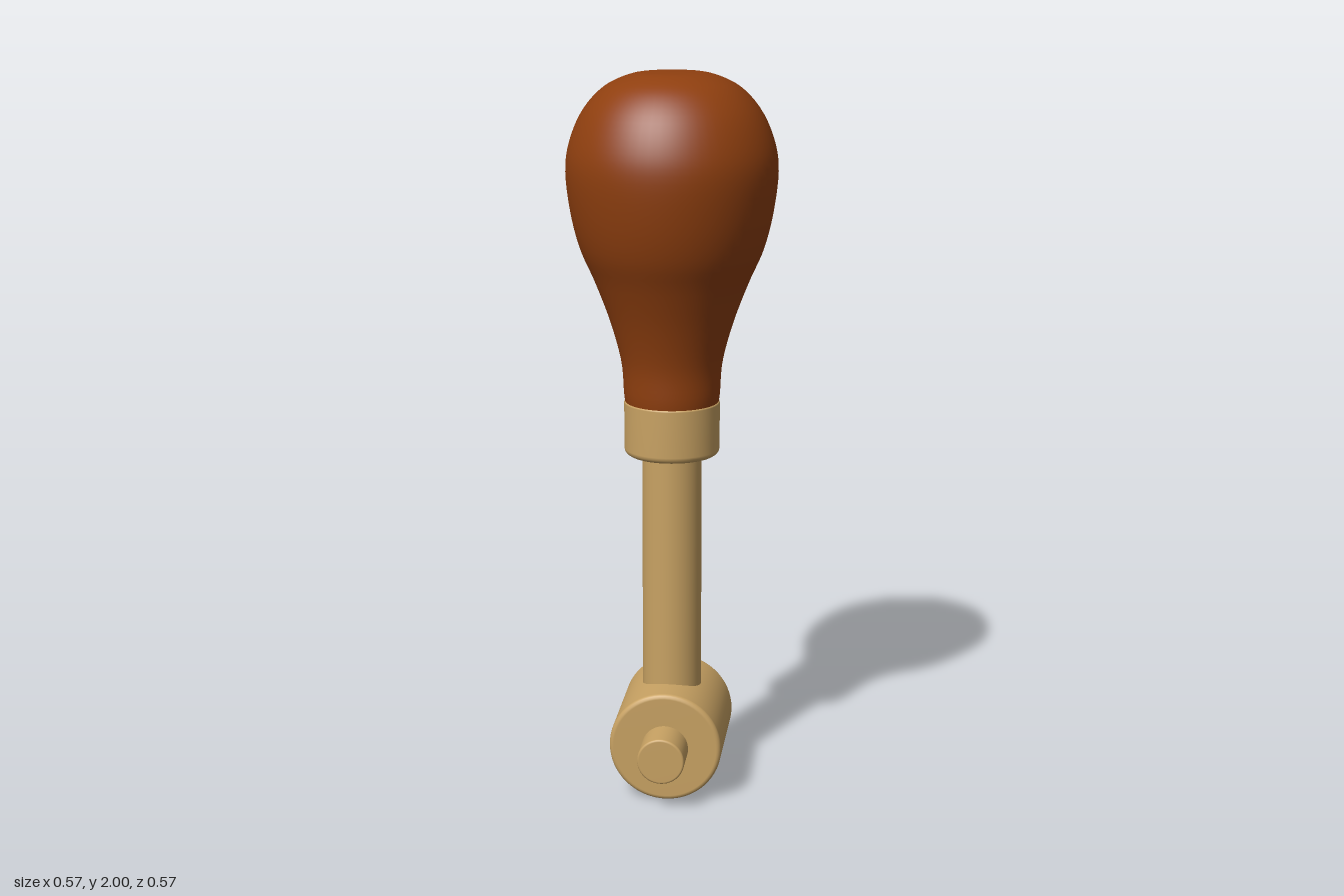
import * as THREE from 'three';

const V = (x, y) => new THREE.Vector2(x, y);

export function createModel() {
  const wood = new THREE.MeshStandardMaterial({ color: 0x8f3f0f });
  wood.name = 'reddish wood';
  const brass = new THREE.MeshStandardMaterial({ color: 0xc8a263 });
  brass.name = 'brass';

  const model = new THREE.Group();
  model.name = 'handle';

  const add = (name, profile, material) => {
    const mesh = new THREE.Mesh(new THREE.LatheGeometry(profile, 64), material);
    mesh.name = name;
    model.add(mesh);
    return mesh;
  };

  // Closed round bar along y with rounded rims
  const bar = (r, y0, y1, b0, b1 = b0) => {
    const pts = [V(0, y0)];
    const steps = 4;
    for (let i = 0; i <= steps; i++) {
      const a = (i / steps) * Math.PI / 2;
      pts.push(V(r - b0 + b0 * Math.sin(a), y0 + b0 - b0 * Math.cos(a)));
    }
    for (let i = 0; i <= steps; i++) {
      const a = (i / steps) * Math.PI / 2;
      pts.push(V(r - b1 + b1 * Math.cos(a), y1 - b1 + b1 * Math.sin(a)));
    }
    pts.push(V(0, y1));
    return pts;
  };

  // Pear-shaped wooden grip
  const gripCurve = new THREE.SplineCurve([
    V(0.125, 1.09), V(0.131, 1.13), V(0.138, 1.22), V(0.167, 1.33),
    V(0.208, 1.44), V(0.247, 1.53), V(0.272, 1.63), V(0.284, 1.74),
    V(0.272, 1.82), V(0.236, 1.9), V(0.18, 1.96), V(0.11, 1.992),
    V(0.05, 1.999), V(0, 2),
  ]);
  add('grip', gripCurve.getPoints(56), wood);

  // Collar and stem
  add('collar', bar(0.131, 0.96, 1.11, 0.018, 0.005), brass);
  add('stem', bar(0.082, 0.16, 1.0, 0.004), brass);

  // Cross hub and the pin through it, lying front to back
  const crossbars = [
    ['hub', 0.156, 0.167, 0.013],
    ['pin', 0.065, 0.267, 0.006],
  ];
  for (const [name, r, half, bevel] of crossbars) {
    const mesh = add(name, bar(r, -half, half, bevel), brass);
    mesh.rotation.x = Math.PI / 2;
    mesh.position.y = 0.156;
  }

  return model;
}
